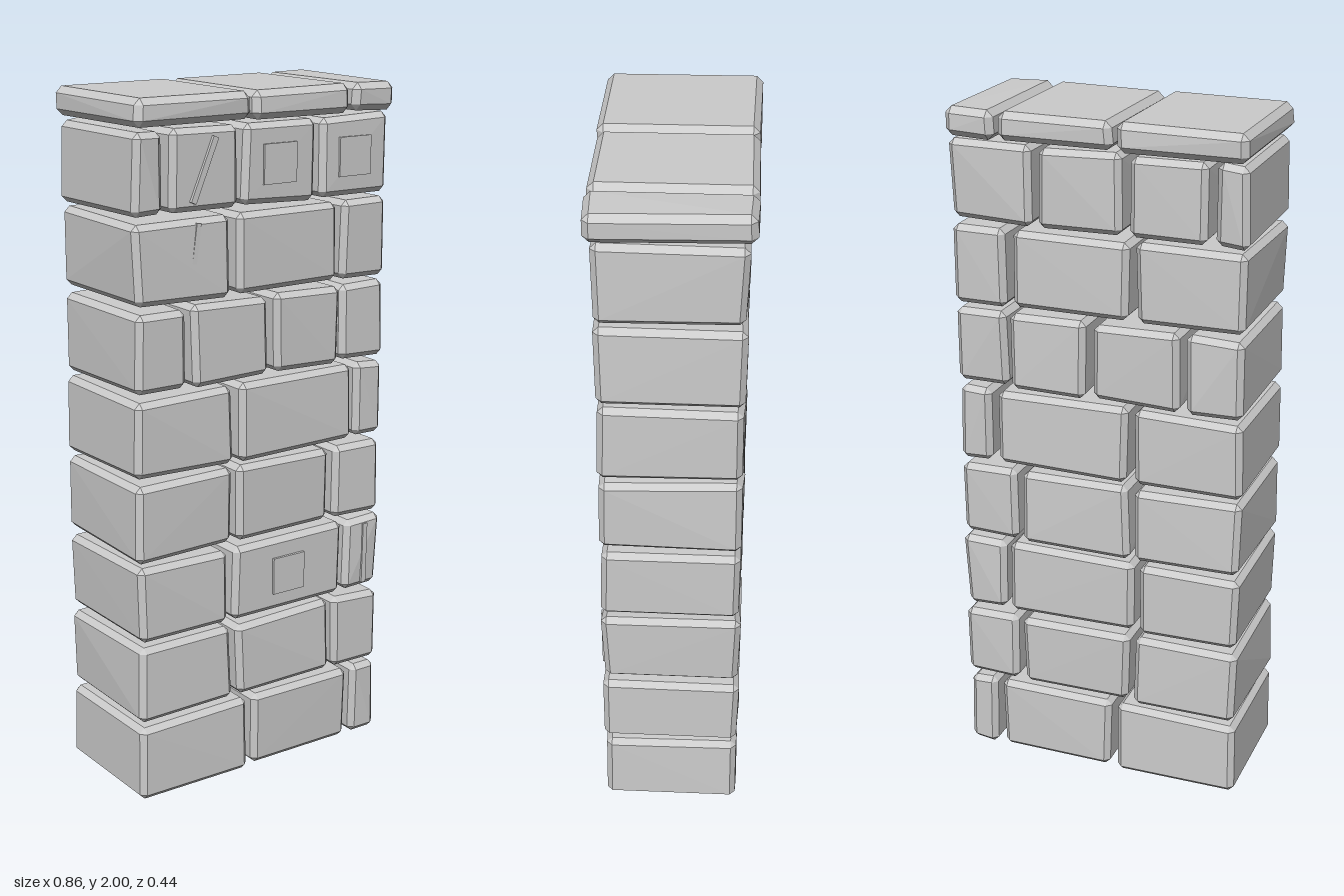
import * as THREE from 'three';
import { ConvexGeometry } from 'three/addons/geometries/ConvexGeometry.js';

// Courses from the ground up: y range and the x range of each stone
const COURSES = [
  { y: [0, 0.235], x: [[-0.43, -0.053], [-0.043, 0.317], [0.33, 0.428]] },
  { y: [0.243, 0.474], x: [[-0.43, -0.112], [-0.1, 0.245], [0.253, 0.428]] },
  { y: [0.484, 0.715], x: [[-0.43, -0.123], [-0.115, 0.285], [0.292, 0.428]] },
  { y: [0.723, 0.954], x: [[-0.43, -0.11], [-0.1, 0.238], [0.247, 0.428]] },
  { y: [0.963, 1.193], x: [[-0.43, -0.105], [-0.095, 0.312], [0.318, 0.428]] },
  { y: [1.201, 1.434], x: [[-0.43, -0.258], [-0.245, 0.016], [0.028, 0.262], [0.265, 0.428]] },
  { y: [1.442, 1.674], x: [[-0.43, -0.112], [-0.1, 0.252], [0.262, 0.428]] },
  { y: [1.681, 1.912], x: [[-0.43, -0.33], [-0.32, -0.09], [-0.08, 0.17], [0.183, 0.428]] },
];
const CAPS = [[-0.43, -0.063], [-0.056, 0.276], [0.28, 0.43]];

export function createModel() {
  const group = new THREE.Group();
  const material = new THREE.MeshStandardMaterial({ color: 0xcccccc, flatShading: true });

  let seed = 7;
  const random = () => {
    seed = (seed * 16807) % 2147483647;
    return seed / 2147483647;
  };

  const add = (name, geometry) => {
    const mesh = new THREE.Mesh(geometry, material);
    mesh.name = name;
    group.add(mesh);
    return mesh;
  };

  // Chamfered block whose eight corners are pulled slightly inward at random
  const stone = (name, x, y, z, bevel, wobble) => {
    const points = [];
    for (const i of [0, 1]) for (const j of [0, 1]) for (const k of [0, 1]) {
      const inward = [1 - 2 * i, 1 - 2 * j, 1 - 2 * k];
      const corner = [x[i], y[j], z[k]].map((v, a) => v + inward[a] * wobble * random());
      for (let axis = 0; axis < 3; axis++) {
        points.push(new THREE.Vector3(...corner.map((v, a) => (a === axis ? v : v + inward[a] * bevel))));
      }
    }
    return add(name, new ConvexGeometry(points));
  };

  // Wall stones
  COURSES.forEach((course, row) => course.x.forEach((x, n) =>
    stone(`stoneRow${row + 1}Block${n + 1}`, x, course.y, [-0.2, 0.198], 0.016, 0.009)));

  // Overhanging capstones
  CAPS.forEach((x, n) => stone(`capstone${n + 1}`, x, [1.915, 2], [-0.22, 0.217], 0.018, 0.006));

  // Raised square panels on the front
  [[0.04, 1.795, 0.199], [0.3, 1.795, 0.199], [0.08, 0.598, 0.203]].forEach(([x, y, face], n) => {
    add(`squarePanel${n + 1}`, new THREE.BoxGeometry(0.11, 0.11, 0.024)).position.set(x, y, face - 0.012);
  });

  // Thin raised strips on the front: start and end points, width and face depth
  const strip = (name, x0, y0, x1, y1, width, face) => {
    const mesh = add(name, new THREE.BoxGeometry(width, Math.hypot(x1 - x0, y1 - y0), 0.024));
    mesh.position.set((x0 + x1) / 2, (y0 + y1) / 2, face - 0.012);
    mesh.rotation.z = -Math.atan2(x1 - x0, y1 - y0);
  };
  strip('diagonalStrip', -0.25, 1.712, -0.177, 1.882, 0.017, 0.206);
  strip('slantedStrip', -0.25, 1.48, -0.225, 1.655, 0.014, 0.194);
  strip('uprightStrip', 0.363, 0.505, 0.366, 0.692, 0.016, 0.2);

  return group;
}
